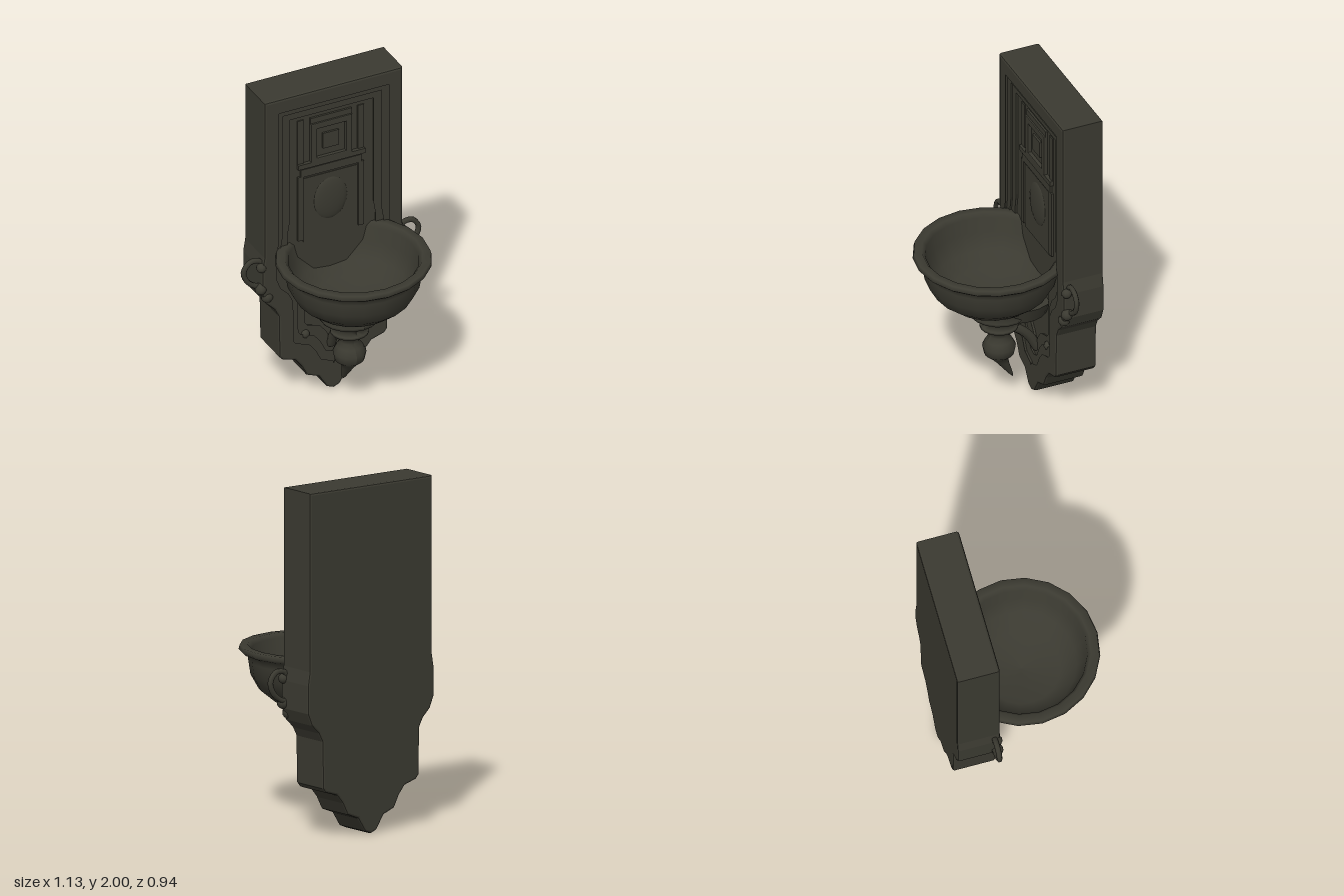
import * as THREE from 'three';

const stone = new THREE.MeshStandardMaterial({ color: 0x3b3a31, side: THREE.DoubleSide });
stone.name = 'dark stone';

const BACK = -0.47;

// Right half of the wall plate outline, top to bottom tip
const OUTLINE = [
  [0.435, 2], [0.435, 0.98], [0.448, 0.9], [0.448, 0.74], [0.42, 0.67], [0.37, 0.62], [0.345, 0.57],
  [0.34, 0.3], [0.32, 0.275], [0.24, 0.25], [0.2, 0.2], [0.165, 0.13], [0.09, 0.1], [0.04, 0.02], [0, 0.003],
];

function add(group, geometry, name, x = 0, y = 0, z = 0) {
  const mesh = new THREE.Mesh(geometry, stone);
  mesh.name = name;
  mesh.position.set(x, y, z);
  group.add(mesh);
  return mesh;
}

// Outline moved inward by d, clipped at the centre line and mirrored
function inset(d) {
  const half = [];
  for (const [px, py] of OUTLINE) {
    const x = px - d, y = py + (py === 2 ? -d : d);
    if (x <= 0) {
      const [ax, ay] = half[half.length - 1];
      half.push([0, ay + (y - ay) * ax / (ax - x)]);
      break;
    }
    half.push([x, y]);
  }
  const left = half.slice(0, -1).reverse().map(([x, y]) => [-x, y]);
  return half.concat(left).map(([x, y]) => new THREE.Vector2(x, y));
}

// Extruded plate between two depths, with an optional hole
function plate(outer, hole, z0, z1, bevel) {
  const shape = new THREE.Shape(outer);
  if (hole) shape.holes.push(new THREE.Path(hole));
  const geo = new THREE.ExtrudeGeometry(shape, {
    depth: z1 - z0 - 2 * bevel, bevelEnabled: bevel > 0, bevelSize: bevel,
    bevelThickness: bevel, bevelOffset: -bevel, bevelSegments: 2,
  });
  return geo.translate(0, 0, z0 + bevel);
}

function lathe(profile, segments) {
  return new THREE.LatheGeometry(profile.map(([r, y]) => new THREE.Vector2(r, y)), segments);
}

// Rectangular picture-frame moulding
function frame(w, h, t, depth) {
  const rect = (a, b) => [[-a, -b], [a, -b], [a, b], [-a, b]].map(([x, y]) => new THREE.Vector2(x, y));
  return plate(rect(w / 2, h / 2), rect(w / 2 - t, h / 2 - t), 0, depth, 0.006);
}

export function createModel() {
  const model = new THREE.Group();
  model.name = 'wallFountain';

  // Wall plate with stepped mouldings around a sunken panel
  add(model, plate(inset(0), null, BACK, -0.265, 0.012), 'backSlab');
  [[0, 0.075, -0.22], [0.07, 0.12, -0.238], [0.115, 0.165, -0.25]].forEach(([a, b, front], i) => {
    add(model, plate(inset(a), inset(b), -0.3, front, i ? 0.006 : 0.014), 'borderMoulding' + (i + 1));
  });

  // Carved relief on the panel
  const relief = new THREE.Group();
  relief.name = 'panelRelief';
  relief.position.z = -0.268;
  model.add(relief);
  add(relief, frame(0.26, 0.27, 0.04, 0.025), 'squareFrame', 0, 1.63);
  add(relief, new THREE.BoxGeometry(0.1, 0.1, 0.03), 'squareBoss', 0, 1.63);
  add(relief, new THREE.BoxGeometry(0.26, 0.04, 0.03), 'upperLintel', 0, 1.78);
  add(relief, new THREE.BoxGeometry(0.42, 0.03, 0.05), 'shelf', 0, 1.5);
  add(relief, new THREE.BoxGeometry(0.38, 0.05, 0.03), 'shelfFrieze', 0, 1.45);
  add(relief, new THREE.BoxGeometry(0.34, 0.42, 0.014), 'lowerPanel', 0, 1.2);
  const mound = new THREE.SphereGeometry(1, 16, 10).scale(0.11, 0.14, 0.025);
  add(relief, mound, 'carvedMound', 0, 1.24);
  for (const s of [-1, 1]) {
    add(relief, new THREE.BoxGeometry(0.04, 0.3, 0.02), 'upperPilaster', s * 0.19, 1.65);
    add(relief, new THREE.BoxGeometry(0.035, 0.42, 0.03), 'lowerPilaster', s * 0.19, 1.22);
  }

  // Round basin, set into the wall plate
  add(model, lathe([
    [0.0, 0.655], [0.15, 0.66], [0.25, 0.695], [0.33, 0.76], [0.375, 0.84], [0.387, 0.92], [0.39, 0.955],
    [0.425, 0.97], [0.442, 0.985], [0.435, 1.01], [0.39, 1.01], [0.37, 0.985], [0.355, 0.9],
    [0.31, 0.8], [0.22, 0.74], [0, 0.715],
  ], 20), 'basin', 0, 0, 0.025);

  // Stepped pedestal and pendant; the tip sweeps back to the wall
  const pendant = lathe([
    [0.0, 0.125], [0.012, 0.15], [0.035, 0.24], [0.05, 0.28], [0.085, 0.31], [0.095, 0.36], [0.075, 0.4],
    [0.055, 0.43], [0.065, 0.47], [0.11, 0.49], [0.11, 0.505], [0.08, 0.52], [0.12, 0.56],
    [0.17, 0.585], [0.185, 0.61], [0.165, 0.63], [0.19, 0.65], [0.2, 0.68], [0.16, 0.7],
  ], 18);
  const pos = pendant.attributes.position;
  for (let i = 0; i < pos.count; i++) {
    const drop = Math.max(0, 0.28 - pos.getY(i));
    pos.setZ(i, pos.getZ(i) - drop * 0.55);
  }
  pendant.computeVertexNormals();
  add(model, pendant, 'pendant', 0, 0, -0.025);

  // Corbel and curved strut joining the pendant to the wall
  add(model, new THREE.CylinderGeometry(0.21, 0.17, 0.1, 18), 'corbel', 0, 0.63, -0.14);
  const strut = new THREE.CatmullRomCurve3([
    new THREE.Vector3(0, 0.47, -0.08), new THREE.Vector3(0, 0.43, -0.15),
    new THREE.Vector3(0, 0.37, -0.21), new THREE.Vector3(0, 0.28, -0.26),
  ]);
  add(model, new THREE.TubeGeometry(strut, 8, 0.028, 8), 'strut');

  // Side handles, scrolls and apron rosettes
  for (const s of [-1, 1]) {
    const path = new THREE.CatmullRomCurve3(
      [[0.42, 0.9], [0.45, 0.95], [0.51, 0.955], [0.55, 0.9], [0.525, 0.83], [0.47, 0.79], [0.42, 0.78]]
        .map(([x, y]) => new THREE.Vector3(s * x, y, -0.255)));
    add(model, new THREE.TubeGeometry(path, 18, 0.016, 6), 'handle');
    for (const [x, y, r] of [[0.445, 0.91, 0.03], [0.45, 0.77, 0.034], [0.41, 0.71, 0.035]]) {
      add(model, new THREE.SphereGeometry(r, 10, 8), 'scroll', s * x, y, -0.24);
    }
    add(model, new THREE.SphereGeometry(0.028, 10, 8), 'rosette', s * 0.165, 0.39, -0.255);
  }

  return model;
}
